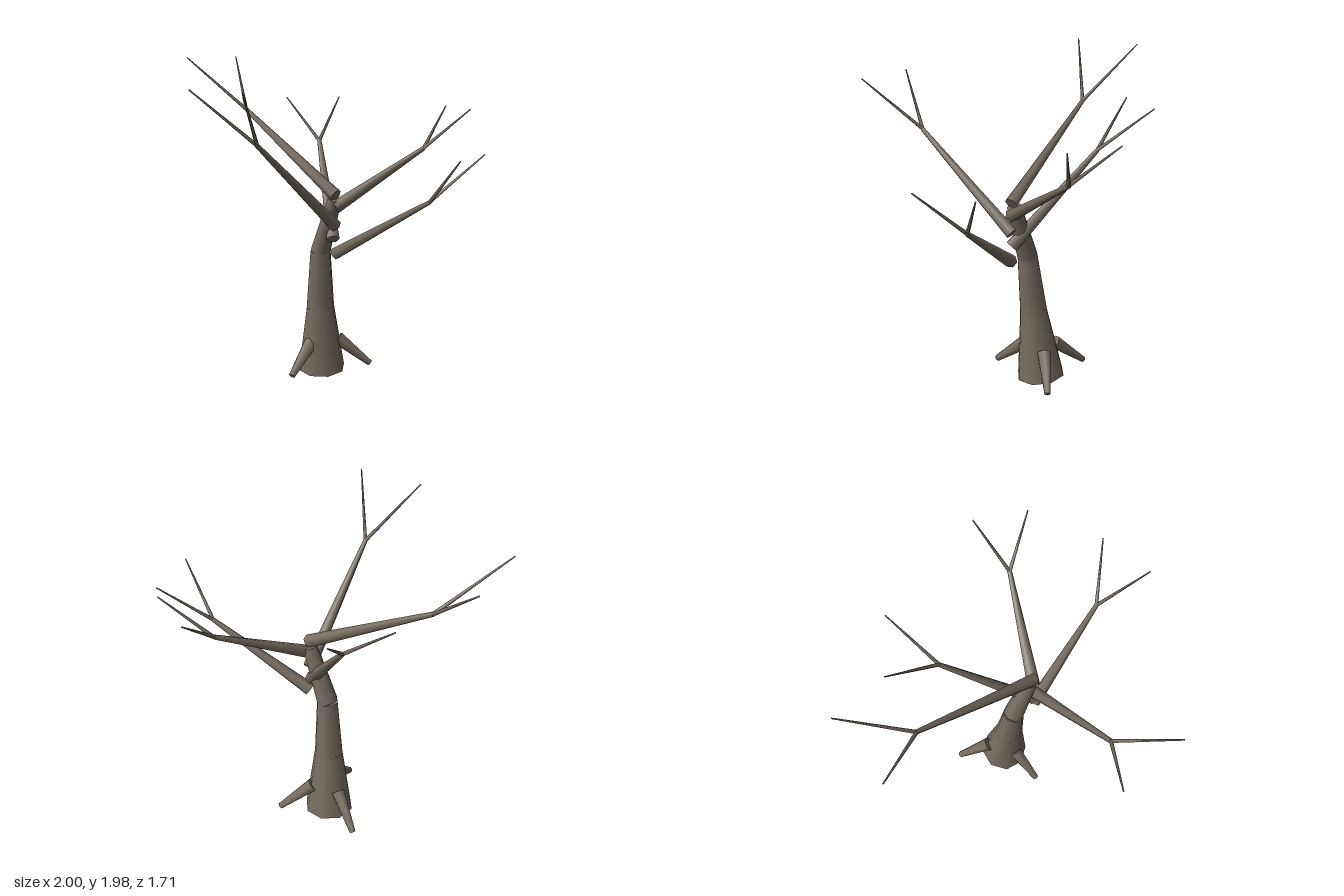
import * as THREE from 'three';

const bark = new THREE.MeshStandardMaterial({ color: 0x766c60 });
bark.name = 'bark';

// Tapered, capped limb running from point a to point b
function limb(name, a, b, r0, r1, sides) {
  const start = new THREE.Vector3(...a);
  const end = new THREE.Vector3(...b);
  const axis = end.clone().sub(start);
  const mesh = new THREE.Mesh(new THREE.CylinderGeometry(r1, r0, axis.length(), sides), bark);
  mesh.name = name;
  mesh.position.copy(start).add(end).multiplyScalar(0.5);
  mesh.quaternion.setFromUnitVectors(new THREE.Vector3(0, 1, 0), axis.normalize());
  return mesh;
}

export function createModel() {
  const tree = new THREE.Group();
  tree.name = 'bareTree';

  // Leaning trunk in three tapering sections
  const trunk = [
    [[-0.05, 0.015, -0.25], 0.152],
    [[-0.035, 0.435, -0.205], 0.09],
    [[-0.015, 0.805, -0.168], 0.065],
    [[0.105, 1.15, -0.125], 0.045],
  ];
  for (let i = 0; i < 3; i++) {
    tree.add(limb('trunkSection' + (i + 1), trunk[i][0], trunk[i + 1][0], trunk[i][1], trunk[i + 1][1], 8));
  }

  // Stubby roots splaying from the base
  const roots = [
    ['frontRoot', [-0.065, 0.21, -0.14], [-0.09, 0.045, 0.06]],
    ['leftRoot', [0.04, 0.21, -0.3], [0.23, 0.045, -0.39]],
    ['rightRoot', [-0.13, 0.21, -0.31], [-0.275, 0.045, -0.46]],
  ];
  for (const [name, a, b] of roots) tree.add(limb(name, a, b, 0.045, 0.02, 6));

  // Branches stacked up the trunk, each forking into two twigs
  const branches = [
    ['leftBranch', [0.115, 0.815, -0.11], [0.73, 1.19, -0.1], [0.99, 1.46, -0.26], [0.975, 1.46, 0.09]],
    ['backRightBranch', [0.105, 0.905, -0.11], [-0.22, 1.45, -0.52], [-0.52, 1.715, -0.61], [-0.245, 1.715, -0.84]],
    ['frontBranch', [0.115, 0.99, -0.115], [-0.03, 1.53, 0.52], [-0.3, 1.835, 0.76], [0.1, 1.835, 0.85]],
    ['backLeftBranch', [0.115, 1.1, -0.11], [0.49, 1.435, -0.57], [0.52, 1.68, -0.85], [0.76, 1.68, -0.64]],
    ['rightBranch', [0.12, 1.175, -0.11], [-0.64, 1.65, -0.3], [-0.9, 1.98, -0.57], [-1, 1.98, -0.155]],
  ];
  for (const [name, a, fork, ...tips] of branches) {
    const group = new THREE.Group();
    group.name = name;
    group.add(limb(name + 'Limb', a, fork, 0.04, 0.014, 6));
    tips.forEach((tip, i) => group.add(limb(name + 'Twig' + (i + 1), fork, tip, 0.012, 0.004, 5)));
    tree.add(group);
  }
  return tree;
}
